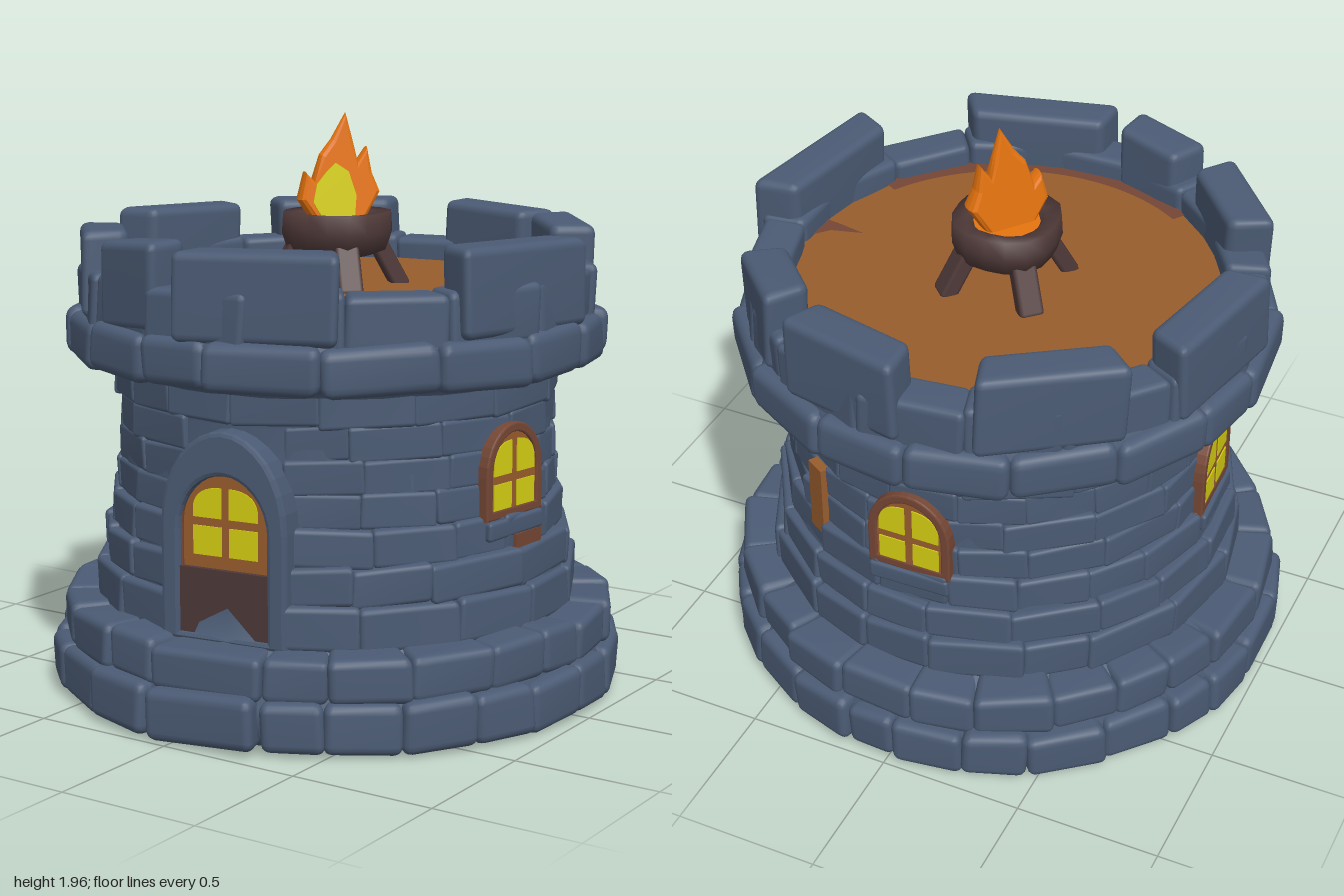
import * as THREE from 'three';
import { mergeVertices } from 'three/addons/utils/BufferGeometryUtils.js';
import { RoundedBoxGeometry } from 'three/addons/geometries/RoundedBoxGeometry.js';

const DEG = Math.PI / 180;
const V = (x, y) => new THREE.Vector2(x, y);

function material(name, color, side = THREE.FrontSide) {
  const m = new THREE.MeshStandardMaterial({ color, side });
  m.name = name;
  return m;
}

export function createModel() {
  const mats = {
    stone: material('slate stone', 0x4b5b74),
    wood: material('warm wood', 0x985d2d),
    trim: material('window trim', 0x754735),
    dark: material('dark wood', 0x4e3938, THREE.DoubleSide),
    glow: material('yellow glow', 0xd6cf12),
    fire: material('orange fire', 0xe8750f),
  };
  const model = new THREE.Group();
  model.name = 'stoneTower';

  let seed = 7;
  const rand = () => (seed = (seed * 16807) % 2147483647) / 2147483647;
  const jitter = (s) => (rand() - 0.5) * 2 * s;

  function add(parent, name, geometry, mat, x = 0, y = 0, z = 0) {
    const mesh = new THREE.Mesh(geometry, mat);
    mesh.name = name;
    mesh.position.set(x, y, z);
    parent.add(mesh);
    return mesh;
  }

  function group(name, angle = 0, parent = model) {
    const g = new THREE.Group();
    g.name = name;
    g.rotation.y = angle;
    parent.add(g);
    return g;
  }

  // One worn, wedge-shaped stone facing outwards at angle a
  function stone(parent, name, a, y0, y1, r0, r1, w, round = 0.2) {
    const h = y1 - y0, d = r1 - r0;
    const raw = new RoundedBoxGeometry(w, h, d, 2, Math.min(w, h, d) * round);
    raw.deleteAttribute('uv');
    raw.deleteAttribute('normal');
    const geo = mergeVertices(raw, 1e-4);
    const p = geo.attributes.position;
    const k = rand() * 9, lean = jitter(0.03), skew = jitter(0.06);
    for (let i = 0; i < p.count; i++) {
      const x = p.getX(i), y = p.getY(i), z = p.getZ(i);
      const wedge = (r1 - d / 2 + z) / r1;
      p.setXYZ(i,
        x * wedge + y * skew,
        y + x * lean + 0.006 * Math.sin(14 * x + k),
        z + x * lean + 0.004 * Math.sin(17 * y + 9 * x + k));
    }
    geo.computeVertexNormals();
    geo.translate(0, (y0 + y1) / 2, (r0 + r1) / 2);
    add(parent, name, geo, mats.stone).rotation.y = a;
  }

  // A course of n uneven stones spread over an arc
  function course(name, y0, y1, r0, r1, n, start, span, rough, round) {
    const g = group(name);
    const weights = Array.from({ length: n }, () => 0.75 + 0.5 * rand());
    const total = weights.reduce((s, v) => s + v, 0);
    let a = start;
    for (const v of weights) {
      const step = (v / total) * span;
      const r = r1 + jitter(rough);
      stone(g, 'stoneBlock', a + step / 2, y0, y1 + jitter(rough * 0.6), r0, r,
        2 * r * Math.tan(step / 2) + 0.006, round);
      a += step;
    }
  }

  // Solid core behind the stones
  add(model, 'towerCore', new THREE.LatheGeometry([
    V(0, 0.01), V(0.9, 0.01), V(0.95, 0.06), V(0.95, 0.15), V(0.91, 0.19), V(0.91, 0.28), V(0.81, 0.305),
    V(0.8, 0.42), V(0.775, 0.56), V(0.747, 0.68), V(0.735, 1.0), V(0.74, 1.1), V(0.82, 1.14), V(0.885, 1.19),
    V(0.88, 1.28), V(0.845, 1.31), V(0.84, 1.36), V(0, 1.345),
  ], 48), mats.stone);

  // Stepped foundation, with a wide step in front of the door
  const door = 6.5 * DEG, gap = 12.5 * DEG, full = Math.PI * 2;
  const foundation = group('frontSteps');
  stone(foundation, 'lowerStep', door, 0.005, 0.18, 0.75, 0.99, 0.41);
  stone(foundation, 'upperStep', door, 0.165, 0.31, 0.75, 0.94, 0.41);
  course('lowerFoundation', 0.005, 0.175, 0.78, 0.981, 24, door + gap, full - 2 * gap, 0.012, 0.2);
  course('upperFoundation', 0.165, 0.315, 0.75, 0.943, 22, door + gap, full - 2 * gap, 0.012, 0.2);

  // Wall courses, left open at the doorway
  const levels = [0.3, 0.44, 0.56, 0.68, 0.79, 0.9, 1.01, 1.135];
  const radii = [0.822, 0.8, 0.772, 0.749, 0.745, 0.74, 0.748];
  radii.forEach((r, i) => {
    const open = i < 6 ? 14 * DEG : 0;
    course('wallCourse', levels[i], levels[i + 1] + 0.008, 0.64, r, 16 + (i % 3),
      door + open, full - 2 * open, 0.004, 0.14);
  });

  // Overhanging ring and parapet
  course('overhangRing', 1.135, 1.3, 0.68, 0.905, 17, 0.1, full, 0.01, 0.25);
  course('parapetCourse', 1.26, 1.455, 0.715, 0.865, 17, 0.25, full, 0.01, 0.18);
  const battlements = group('battlements');
  [[-2, 34], [59, 97], [123, 145], [152, 182], [198, 230], [242, 275], [297, 324], [332, 352]]
    .forEach(([a, b]) => {
      const half = (b - a) / 2 * DEG;
      stone(battlements, 'merlon', (a + b) / 2 * DEG, 1.29, 1.58, 0.715, 0.872, 2 * 0.872 * Math.tan(half));
    });

  // Wooden deck with a worn edge at the front and a crack at its left
  const deck = group('roofDeck');
  add(deck, 'deckBoards', new THREE.CircleGeometry(0.76, 48), mats.wood, 0, 1.37, 0).rotation.x = -Math.PI / 2;
  add(deck, 'deckWornEdge', new THREE.RingGeometry(0.675, 0.75, 40, 1, 236 * DEG, 95 * DEG),
    mats.trim, 0, 1.376, 0).rotation.x = -Math.PI / 2;
  const crack = new THREE.Shape([V(0.56, -0.03), V(0.66, -0.05), V(0.74, -0.06), V(0.74, 0.08), V(0.67, 0.0)]);
  add(deck, 'deckCrack', new THREE.ShapeGeometry(crack), mats.trim, 0, 1.376, 0).rotation.x = -Math.PI / 2;

  // Arched outline, standing on y = 0
  function arch(w, h, rise, Type = THREE.Shape) {
    const s = new Type(), a = w / 2;
    s.moveTo(-a, 0);
    s.lineTo(a, 0);
    s.lineTo(a, h - rise);
    s.bezierCurveTo(a, h - rise * 0.4, a * 0.5, h, 0, h);
    s.bezierCurveTo(-a * 0.5, h, -a, h - rise * 0.4, -a, h - rise);
    s.lineTo(-a, 0);
    return s;
  }
  const slab = (shape, depth, bevel = 0) => new THREE.ExtrudeGeometry(shape, {
    depth, bevelEnabled: bevel > 0, bevelSize: bevel, bevelThickness: bevel, bevelSegments: 2, curveSegments: 8,
  });

  // Four glowing panes around a cross bar centred on (0, y)
  function panes(parent, y, z, half, down, up) {
    const b = 0.014;
    for (const s of [-1, 1]) {
      const top = new THREE.Shape();
      top.moveTo(s * b, b);
      top.lineTo(s * half, b);
      top.lineTo(s * half, up * 0.45);
      top.quadraticCurveTo(s * half * 0.9, up, s * b, up);
      add(parent, 'upperPane', slab(top, 0.006), mats.glow, 0, y, z);
      add(parent, 'lowerPane', new THREE.BoxGeometry(half - b, down - b, 0.006), mats.glow,
        s * (half + b) / 2, y - (down + b) / 2, z + 0.003);
    }
  }

  function framed(parent, name, w, h, rise, t, y, z, depth, mat, bevel) {
    const s = arch(w, h, rise);
    const hole = arch(w - 2 * t, h - 2 * t, rise * 0.85, THREE.Path);
    s.holes.push(new THREE.Path(hole.getPoints(8).map((p) => V(p.x, p.y + t))));
    add(parent, name, slab(s, depth, bevel), mat, 0, y, z);
  }

  // Windows on both sides and the back
  for (const a of [82.5, 180, 273]) {
    const g = group('window', a * DEG);
    add(g, 'windowBoard', slab(arch(0.27, 0.28, 0.15), 0.09), mats.wood, 0, 0.68, 0.674);
    framed(g, 'windowFrame', 0.285, 0.3, 0.16, 0.02, 0.68, 0.7, 0.065, mats.trim, 0.006);
    panes(g, 0.805, 0.762, 0.108, 0.11, 0.125);
    stone(g, 'windowSill', 0, 0.61, 0.675, 0.66, 0.782, 0.29);
  }
  const brick = group('exposedBrick', 87 * DEG);
  add(brick, 'brownBrick', new THREE.BoxGeometry(0.15, 0.06, 0.04), mats.trim, 0, 0.585, 0.766);

  // Wooden slit at the back right
  const slit = group('slitShutter', 149 * DEG);
  add(slit, 'shutterBoard', new THREE.BoxGeometry(0.08, 0.27, 0.06), mats.wood, 0, 0.77, 0.745);

  // Doorway with stone surround
  const entry = group('doorway', door);
  const surround = arch(0.43, 0.67, 0.3);
  surround.holes.push(arch(0.35, 0.555, 0.2, THREE.Path));
  add(entry, 'doorSurround', slab(surround, 0.145, 0.015), mats.stone, 0, 0.31, 0.65);
  add(entry, 'doorBoard', slab(arch(0.36, 0.56, 0.2), 0.1), mats.wood, 0, 0.31, 0.683);
  framed(entry, 'doorTrim', 0.35, 0.555, 0.2, 0.016, 0.315, 0.73, 0.06, mats.trim, 0.004);
  add(entry, 'doorPanel', new THREE.BoxGeometry(0.345, 0.23, 0.04), mats.dark, 0, 0.425, 0.78);
  panes(entry, 0.692, 0.781, 0.118, 0.11, 0.115);

  // Squarish fire bowl on four splayed legs
  const brazier = group('brazier');
  const bowl = new THREE.LatheGeometry([
    V(0, 1.465), V(0.11, 1.47), V(0.16, 1.49), V(0.178, 1.55), V(0.174, 1.62), V(0.125, 1.615), V(0.105, 1.58),
  ], 16);
  const bp = bowl.attributes.position;
  for (let i = 0; i < bp.count; i++) {
    const a = Math.atan2(bp.getX(i), bp.getZ(i)), k = 1.04 - 0.04 * Math.cos(4 * a);
    bp.setXYZ(i, bp.getX(i) * k, bp.getY(i), bp.getZ(i) * k);
  }
  bowl.computeVertexNormals();
  add(brazier, 'bowl', bowl, mats.dark);
  add(brazier, 'embers', new THREE.CylinderGeometry(0.112, 0.1, 0.02, 16), mats.fire, 0, 1.585, 0);
  for (let i = 0; i < 4; i++) {
    const arm = group('leg', (45 + 90 * i) * DEG, brazier);
    const leg = add(arm, 'legPost', new RoundedBoxGeometry(0.085, 0.21, 0.06, 1, 0.014), mats.dark, 0, 1.445, 0.175);
    leg.rotation.x = -0.5;
  }

  // Flame: a jagged blade thinning towards its tips, with a yellow heart on its front
  const flame = group('flame', 53 * DEG, brazier);
  function thinUpwards(geo) {
    const p = geo.attributes.position;
    for (let i = 0; i < p.count; i++) p.setZ(i, p.getZ(i) * (1 - 2.2 * Math.max(0, p.getY(i))));
    geo.computeVertexNormals();
    return geo;
  }
  const blade = new THREE.Shape([
    V(-0.07, 0), V(-0.125, 0.08), V(-0.112, 0.15), V(-0.085, 0.12), V(-0.05, 0.22), V(-0.01, 0.27), V(0.025, 0.345),
    V(0.04, 0.26), V(0.065, 0.18), V(0.098, 0.23), V(0.105, 0.16), V(0.13, 0.1), V(0.07, 0),
  ]);
  const bladeGeo = slab(blade, 0.012, 0.016);
  bladeGeo.translate(0, 0, -0.006);
  bladeGeo.scale(1, 1, 2.1);
  add(flame, 'flameBlade', thinUpwards(bladeGeo), mats.fire, 0, 1.585, 0);
  const heart = new THREE.Shape([
    V(-0.06, 0), V(-0.1, 0.07), V(-0.085, 0.13), V(-0.05, 0.17), V(-0.015, 0.2), V(0.03, 0.17), V(0.055, 0.09),
    V(0.045, 0),
  ]);
  const heartGeo = slab(heart, 0.006);
  heartGeo.translate(0, 0, 0.045);
  add(flame, 'flameHeart', thinUpwards(heartGeo), mats.glow, 0, 1.585, 0);

  return model;
}
